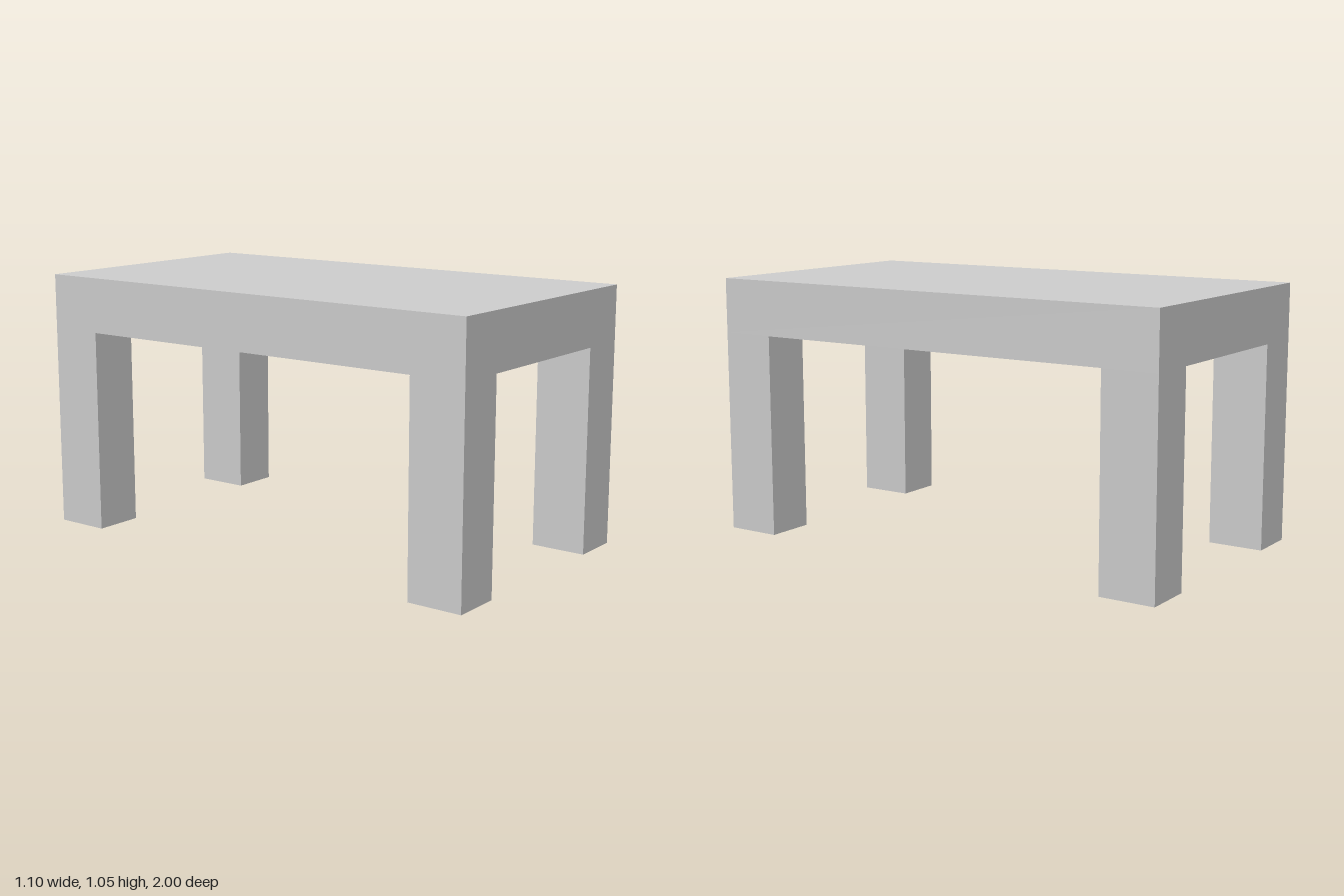
import * as THREE from 'three';

const WIDTH = 1.096, LENGTH = 2, HEIGHT = 1.05;
const UNDERSIDE = 0.826;            // height of the legs
const LEG_X = 0.203, LEG_Z = 0.227; // leg section

export function createModel() {
  const table = new THREE.Group();
  table.name = 'table';
  const material = new THREE.MeshStandardMaterial({ color: 0xcccccc, flatShading: true });

  const addBox = (name, w, h, d, x, y, z) => {
    const mesh = new THREE.Mesh(new THREE.BoxGeometry(w, h, d), material);
    mesh.name = name;
    mesh.position.set(x, y, z);
    table.add(mesh);
  };

  // Thick solid top
  addBox('tableTop', WIDTH, HEIGHT - UNDERSIDE, LENGTH, 0, (HEIGHT + UNDERSIDE) / 2, 0);

  // Four legs flush with the corners
  for (const [end, sz] of [['front', 1], ['back', -1]]) {
    for (const [side, sx] of [['Left', 1], ['Right', -1]]) {
      addBox(`${end}${side}Leg`, LEG_X, UNDERSIDE, LEG_Z,
        sx * (WIDTH - LEG_X) / 2, UNDERSIDE / 2, sz * (LENGTH - LEG_Z) / 2);
    }
  }
  return table;
}
